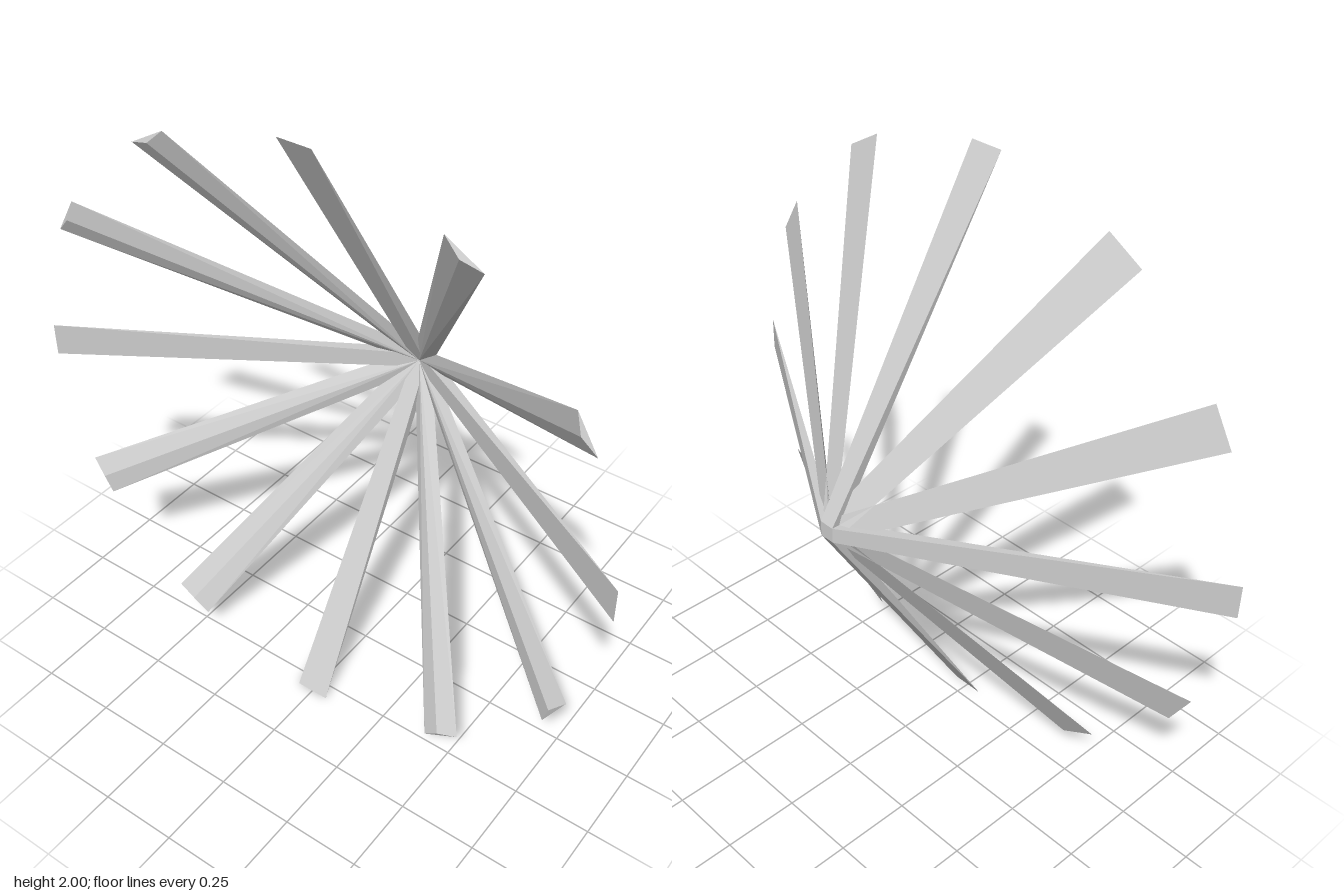
import * as THREE from 'three';
import { ConvexGeometry } from 'three/addons/geometries/ConvexGeometry.js';

const mat = new THREE.MeshStandardMaterial({ color: 0xcccccc, flatShading: true });

// Convex bar along +x; each entry is [radius, half width, z], mirrored across the bar
function bar(points) {
  const list = [];
  for (const [r, w, z] of points) {
    list.push(new THREE.Vector3(r, w, z));
    if (w > 0) list.push(new THREE.Vector3(r, -w, z));
  }
  return new ConvexGeometry(list);
}

// Wedge bar: thick and mitred at the hub, thinning to a flat edge at the rim
const mainRib = bar([
  [0, 0, -0.31], [0, 0, -0.285],
  [0.025, 0.025, -0.31], [0.025, 0.025, -0.27],
  [1, 0.055, 0.3],
]);

// Wider bar: flat back and a ridge along the inside
const ridgedRib = bar([
  [0.01, 0.034, -0.298], [0, 0, -0.285],
  [1, 0.067, 0.3], [0.985, 0, 0.31],
]);

export function createModel() {
  const model = new THREE.Group();
  model.name = 'radialRibs';
  for (let i = 0; i < 12; i++) {
    const main = i % 3 === 0;
    const rib = new THREE.Mesh(main ? mainRib : ridgedRib, mat);
    rib.name = main ? 'mainRib' : 'ridgedRib';
    rib.position.y = 1;
    rib.rotation.z = (i * Math.PI) / 6;
    model.add(rib);
  }
  return model;
}
